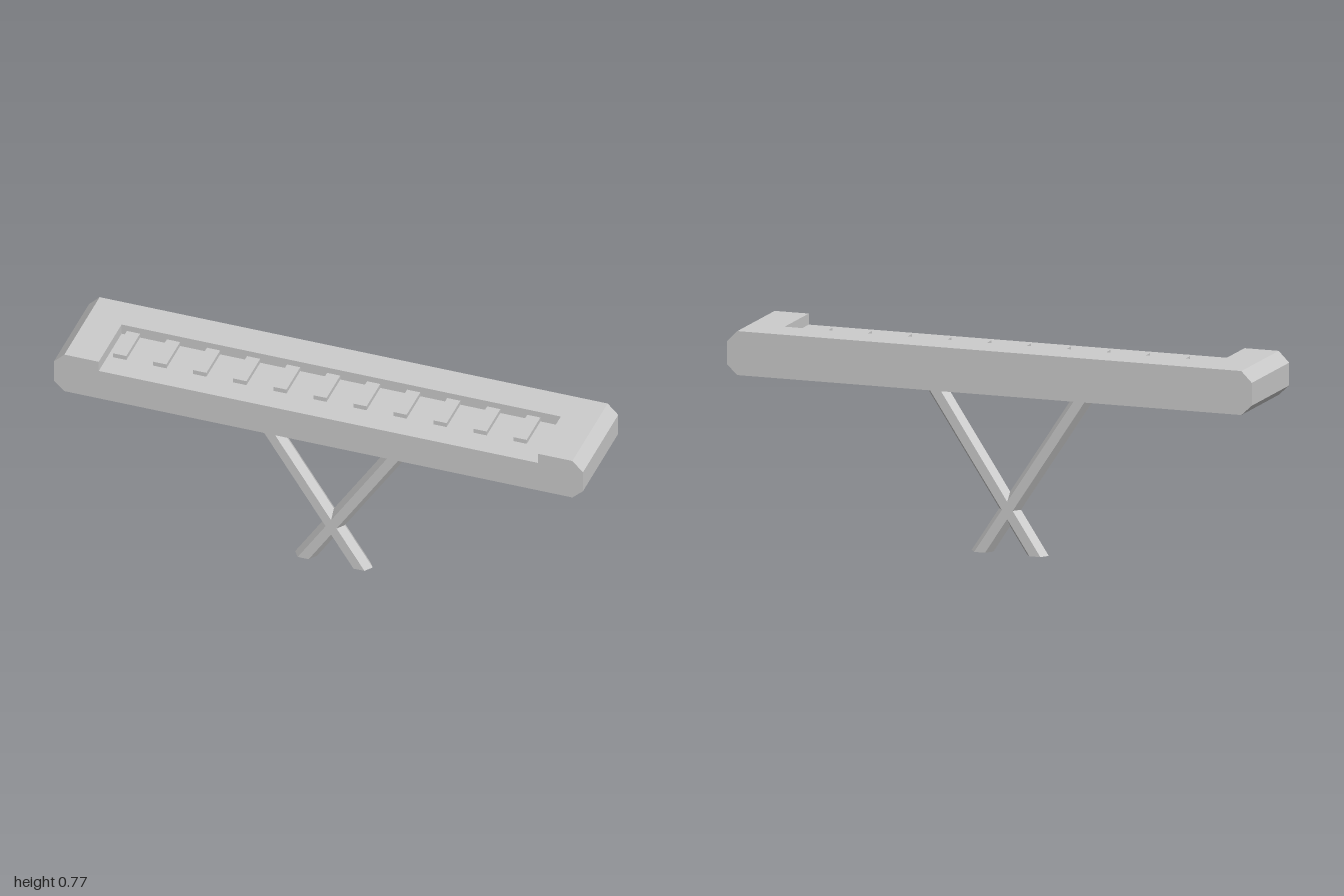
import * as THREE from 'three';

const material = new THREE.MeshStandardMaterial({ color: 0xcccccc, flatShading: true });

function addMesh(parent, name, geometry, x = 0, y = 0, z = 0) {
  const mesh = new THREE.Mesh(geometry, material);
  mesh.name = name;
  mesh.position.set(x, y, z);
  parent.add(mesh);
  return mesh;
}

// Extrude a front outline of [x, y] points from z0 to z1
function slab(points, z0, z1) {
  const shape = new THREE.Shape(points.map(([x, y]) => new THREE.Vector2(x, y)));
  return new THREE.ExtrudeGeometry(shape, { depth: z1 - z0, bevelEnabled: false }).translate(0, 0, z0);
}

// Hexagonal bar, sheared sideways so both ends stay level
function legGeometry(side) {
  const height = 0.615, radius = 0.0346, slope = 0.6585, crossing = 0.16;
  const g = new THREE.CylinderGeometry(radius, radius, height, 6).toNonIndexed();
  g.rotateY(Math.PI / 6).scale(1.2, 1, 1).translate(0, height / 2, 0);
  const p = g.attributes.position;
  for (let i = 0; i < p.count; i++) {
    p.setX(i, p.getX(i) + side * slope * (p.getY(i) - crossing));
  }
  g.computeVertexNormals();
  return g;
}

export function createModel() {
  const model = new THREE.Group();
  model.name = 'keyboardOnStand';

  // Body with chamfered ends: solid rear, and a front cut down to the key bed
  const bottom = 0.615, top = 0.775, bed = 0.735, bedBack = -0.055, depth = 0.186;
  const lower = [[-1, bed], [-1, 0.652], [-0.96, bottom], [0.96, bottom], [1, 0.652], [1, bed]];
  const body = new THREE.Group();
  body.name = 'body';
  model.add(body);
  addMesh(body, 'bodyRear', slab([...lower, [0.96, top], [-0.96, top]], -depth, bedBack));
  addMesh(body, 'bodyFront', slab(
    [...lower, [0.96, top], [0.83, top], [0.83, bed], [-0.83, bed], [-0.83, top], [-0.96, top]],
    bedBack, depth));

  // Raised keys along the back of the bed
  const keys = new THREE.Group();
  keys.name = 'keys';
  model.add(keys);
  const keyShape = new THREE.BoxGeometry(0.05, 0.017, 0.145);
  for (let i = 0; i < 11; i++) {
    addMesh(keys, 'raisedKey', keyShape, -0.785 + i * 0.1513, bed + 0.0085, bedBack + 0.0725);
  }

  // Crossed stand
  const stand = new THREE.Group();
  stand.name = 'stand';
  model.add(stand);
  for (const side of [-1, 1]) {
    addMesh(stand, side > 0 ? 'legLeaningLeft' : 'legLeaningRight', legGeometry(side), 0, 0, 0.022);
  }
  return model;
}
